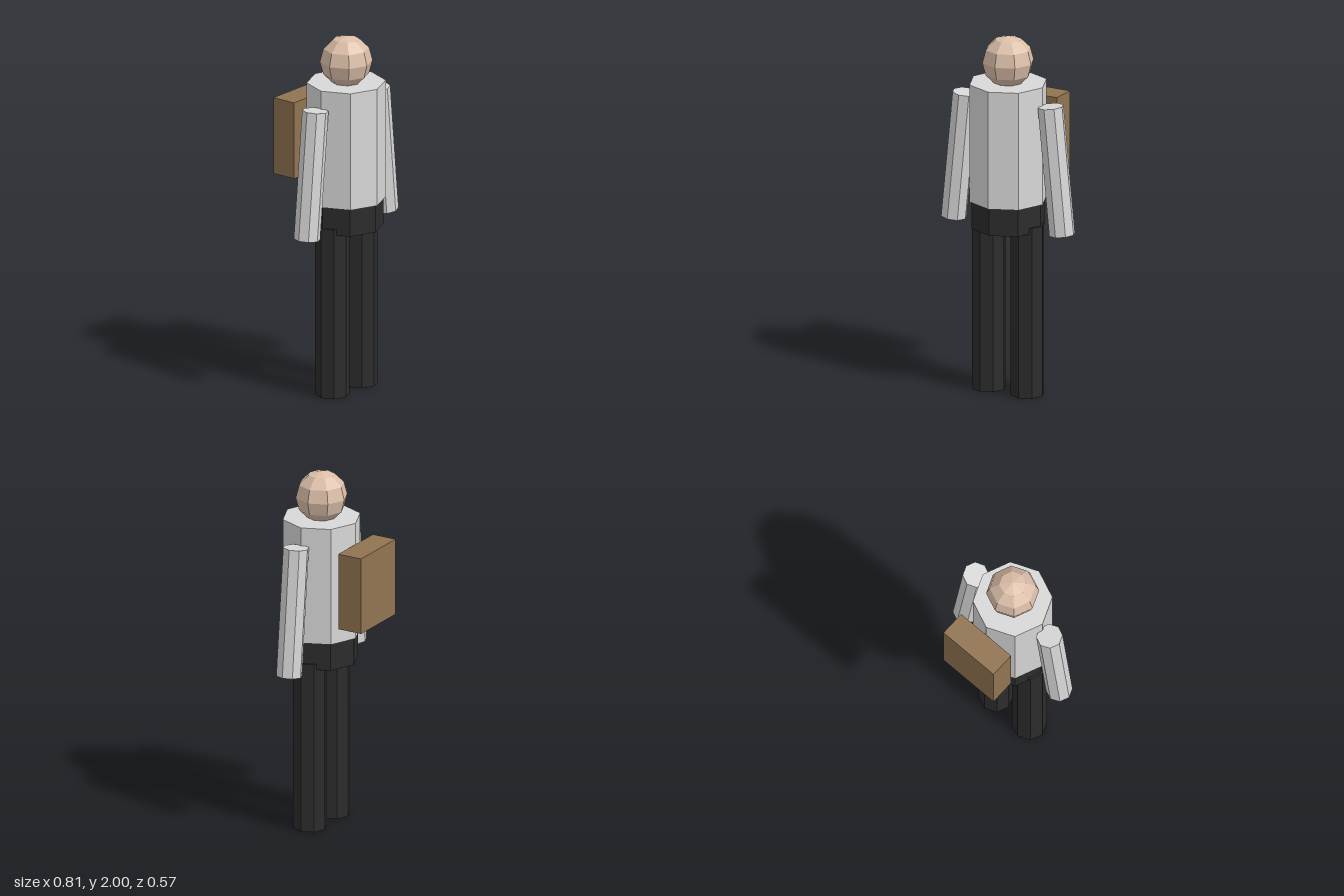
import * as THREE from 'three';

const material = (name, color) => {
  const m = new THREE.MeshStandardMaterial({ color, flatShading: true });
  m.name = name;
  return m;
};

export function createModel() {
  const skin = material('skin', 0xdcbfa9);
  const shirt = material('lightGrey', 0xd8d8d8);
  const trousers = material('black', 0x2c2c2c);
  const leather = material('brown', 0x917452);

  const model = new THREE.Group();
  model.name = 'figureWithBackpack';
  const bodyZ = 0.0715;

  const add = (name, geometry, mat, x, y, z = bodyZ) => {
    const mesh = new THREE.Mesh(geometry, mat);
    mesh.name = name;
    mesh.position.set(x, y, z);
    model.add(mesh);
    return mesh;
  };
  const prism = (r, h) => new THREE.CylinderGeometry(r, r, h, 8);

  // Head, torso and hips
  add('head', new THREE.SphereGeometry(0.143, 8, 6), skin, 0, 1.857);
  add('torso', prism(0.2145, 0.66), shirt, 0, 1.41);
  add('hips', prism(0.203, 0.155), trousers, 0, 1.0045);

  // Limbs, mirrored left and right
  for (const [side, s] of [['left', 1], ['right', -1]]) {
    add(side + 'Leg', prism(0.094, 0.96), trousers, s * 0.12, 0.48);
    add(side + 'Arm', prism(0.0715, 0.715), shirt, s * 0.3, 1.287).rotation.z = s * 0.1;
  }

  // Backpack
  add('backpack', new THREE.BoxGeometry(0.36, 0.43, 0.143), leather, 0, 1.405, -0.2145);

  return model;
}
